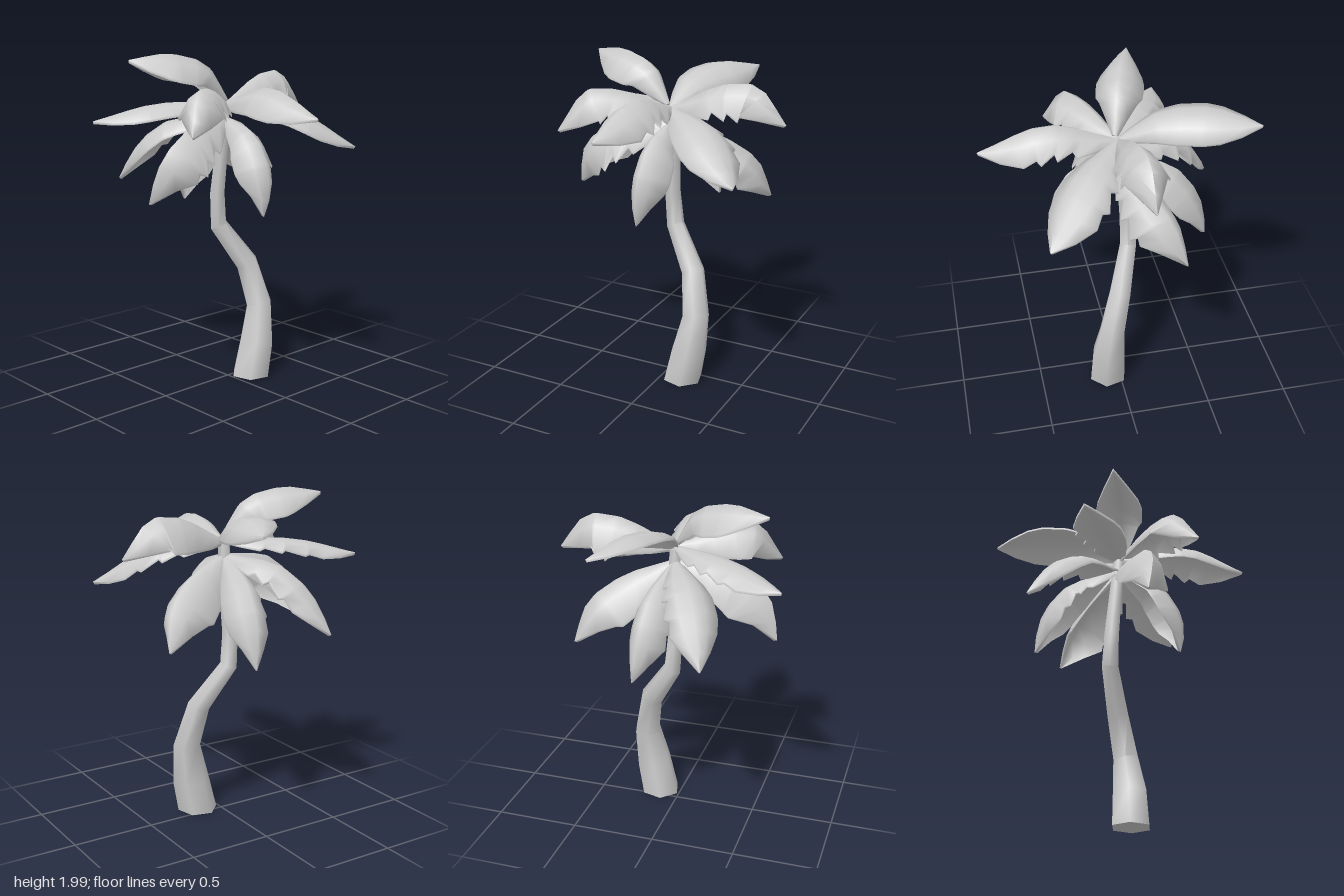
import * as THREE from 'three';
import { toCreasedNormals } from 'three/addons/utils/BufferGeometryUtils.js';

const material = new THREE.MeshStandardMaterial({ color: 0xcccccc, side: THREE.DoubleSide });
const V = (a) => new THREE.Vector3(...a);
const UP = new THREE.Vector3(0, 1, 0);

// Joins equal-sized closed rings of points into a capped, creased skin
function loft(rings, crease) {
  const n = rings[0].length, index = [], pos = rings.flat().flatMap((p) => [p.x, p.y, p.z]);
  for (let i = 0; i < rings.length - 1; i++) {
    for (let j = 0; j < n; j++) {
      const a = i * n + j, b = i * n + ((j + 1) % n);
      index.push(a, a + n, b, b, a + n, b + n);
    }
  }
  const last = (rings.length - 1) * n;
  for (let j = 1; j < n - 1; j++) {
    index.push(0, j, j + 1, last, last + j + 1, last + j);
  }
  const geo = new THREE.BufferGeometry();
  geo.setAttribute('position', new THREE.Float32BufferAttribute(pos, 3));
  geo.setIndex(index);
  return toCreasedNormals(geo, crease);
}

// Trunk: six-sided rings along a bent line [x, y, z, radius]
function makeTrunk() {
  const line = [
    [0.13, 0, 0.073, 0.123], [0.175, 0.21, 0.077, 0.113], [0.21, 0.44, 0.06, 0.085],
    [0.16, 0.7, 0.0, 0.072], [0.0, 0.95, -0.083, 0.056], [-0.015, 1.15, -0.077, 0.049],
    [0, 1.45, -0.05, 0.042], [0, 1.68, -0.03, 0.035],
  ];
  const rings = line.map(([x, y, z, r], i) => {
    const a = V(line[Math.max(i - 1, 0)]), b = V(line[Math.min(i + 1, line.length - 1)]);
    const dir = i === 0 ? UP : b.sub(a).normalize();
    const tilt = new THREE.Quaternion().setFromUnitVectors(UP, dir);
    return Array.from({ length: 6 }, (_, j) => {
      const t = (j / 6) * Math.PI * 2 + 0.26;
      return new THREE.Vector3(Math.cos(t) * r, 0, Math.sin(t) * r)
        .applyQuaternion(tilt).add(new THREE.Vector3(x, y, z));
    });
  });
  return new THREE.Mesh(loft(rings, 1.1), material);
}

// Leaf outline: [position along rib, whole edge, torn edge]
const OUTLINE = [
  [0, 0.12, 0.12], [0.12, 0.45, 0.43], [0.26, 0.76, 0.76], [0.3, 0.82, 0.6],
  [0.42, 0.96, 0.94], [0.45, 0.97, 0.74], [0.6, 1, 1], [0.63, 0.99, 0.82],
  [0.74, 0.88, 0.88], [0.88, 0.5, 0.5], [1, 0.02, 0.02],
];
const THICKNESS = 0.016;

// Frond: thin blade arched across a rib that runs through the given points
function makeFrond({ rib, w, fold, roll = 0, torn = 0 }) {
  const points = rib.map(V), curve = new THREE.CatmullRomCurve3(points);
  const flat = points.at(-1).clone().sub(points[0]).setY(0).normalize();
  const across = flat.cross(UP);
  const rings = OUTLINE.map(([t, whole, ragged]) => {
    const p = curve.getPointAt(t), tan = curve.getTangentAt(t);
    const side = across.clone().applyAxisAngle(tan, roll);
    side.addScaledVector(tan, -side.dot(tan)).normalize();
    const normal = side.clone().cross(tan).normalize();
    const at = (u, depth) => {
      const edge = Math.abs(u) === 1 && Math.sign(u) === torn ? ragged : whole;
      const s = w * edge;
      return p.clone().addScaledVector(side, u * s)
        .addScaledVector(normal, -fold * s * Math.abs(u) ** 1.7 - depth);
    };
    const us = [1, 0.5, 0, -0.5, -1];
    const top = us.map((u) => at(u, 0)), under = us.map((u) => at(u, THICKNESS));
    return [...under, ...top.reverse()];
  });
  return new THREE.Mesh(loft(rings, 1.35), material);
}

const HIGH = [0, 1.7, -0.02], LOW = [0, 1.62, -0.03];
const FRONDS = [
  // Upper crown
  { rib: [HIGH, [0.06, 1.83, -0.22], [0.15, 1.875, -0.48], [0.24, 1.83, -0.78]], w: 0.15, fold: 0.45, roll: 0.35 },
  { rib: [HIGH, [-0.36, 1.7, -0.22], [-0.7, 1.61, -0.38]], w: 0.14, fold: 0.45, torn: 1 },
  { rib: [[0, 1.72, 0], [-0.13, 1.92, -0.04], [-0.36, 1.99, -0.11], [-0.58, 1.96, -0.19]], w: 0.14, fold: 1 },
  { rib: [HIGH, [-0.22, 1.79, 0.11], [-0.42, 1.8, 0.22], [-0.56, 1.57, 0.33]], w: 0.14, fold: 1.2, torn: -1 },
  { rib: [HIGH, [-0.03, 1.81, 0.38], [-0.06, 1.67, 0.77]], w: 0.16, fold: 0.85, torn: -1 },
  { rib: [HIGH, [0.32, 1.66, 0.22], [0.61, 1.43, 0.47]], w: 0.17, fold: 0.5, torn: -1 },
  { rib: [HIGH, [0.32, 1.85, -0.06], [0.52, 1.85, -0.08], [0.69, 1.65, -0.08]], w: 0.14, fold: 1.3, torn: 1 },
  // Lower, drooping fronds
  { rib: [LOW, [-0.18, 1.57, -0.36], [-0.28, 1.4, -0.54], [-0.33, 1.21, -0.64]], w: 0.15, fold: 0.6, torn: 1 },
  { rib: [LOW, [-0.39, 1.55, 0.05], [-0.56, 1.39, 0.05], [-0.61, 1.17, 0.01]], w: 0.15, fold: 1.4, torn: -1 },
  { rib: [LOW, [-0.01, 1.54, 0.22], [-0.02, 1.39, 0.34], [-0.03, 1.22, 0.38], [-0.04, 1.07, 0.35]], w: 0.12, fold: 1.2 },
  { rib: [LOW, [0.29, 1.52, -0.14], [0.47, 1.37, -0.24], [0.53, 1.15, -0.31]], w: 0.16, fold: 1.2, torn: 1 },
  { rib: [LOW, [0.05, 1.48, -0.36], [0.08, 1.24, -0.51], [0.1, 1.04, -0.53]], w: 0.13, fold: 1.1, torn: -1 },
];

export function createModel() {
  const model = new THREE.Group();
  model.name = 'palmTree';

  const trunk = makeTrunk();
  trunk.name = 'trunk';
  model.add(trunk);

  const crown = new THREE.Group();
  crown.name = 'crown';
  FRONDS.forEach((spec, i) => {
    const frond = makeFrond(spec);
    frond.name = `frond${i + 1}`;
    crown.add(frond);
  });
  model.add(crown);
  return model;
}
